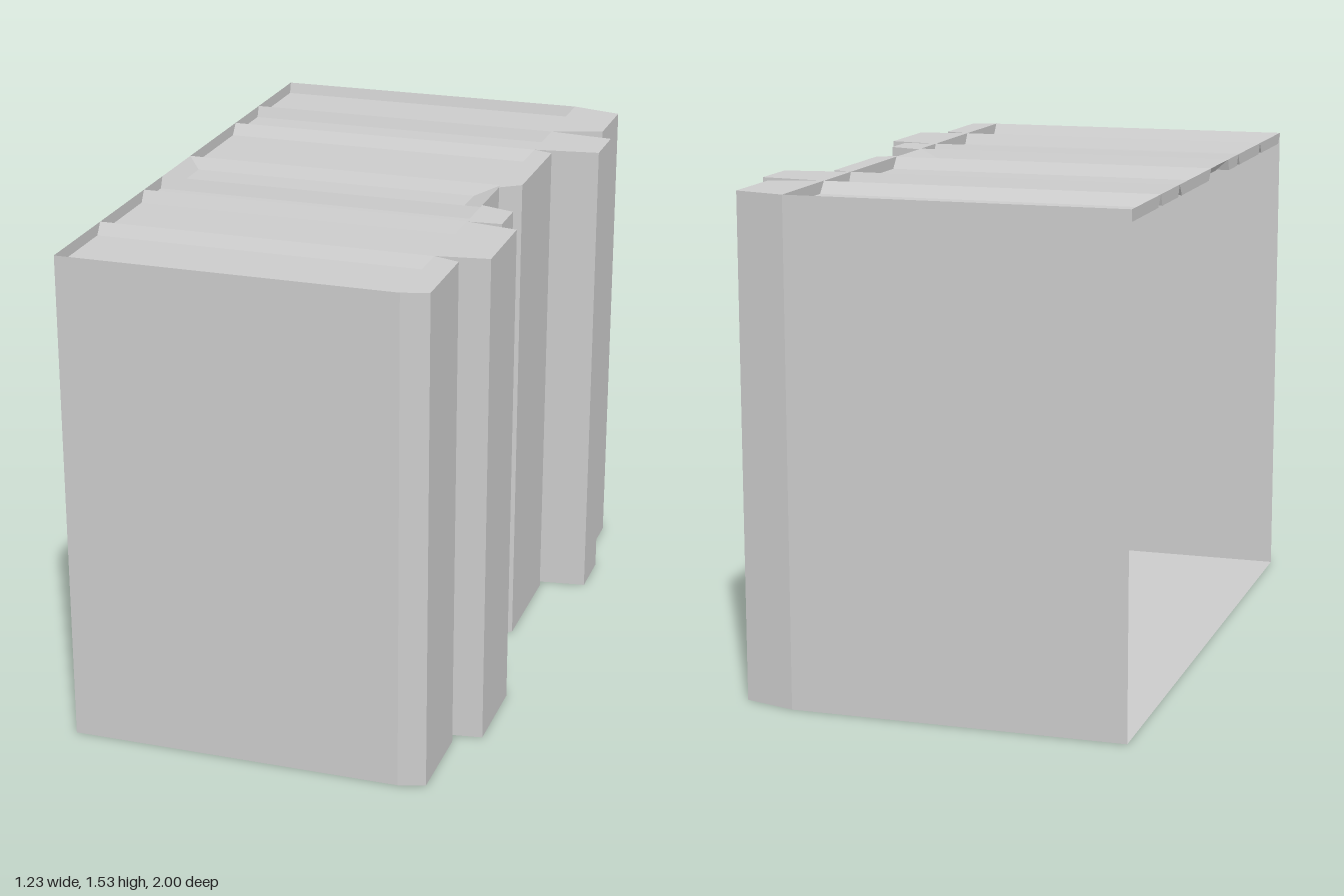
import * as THREE from 'three';

const H = 1.535, BACK = -0.617, EDGE = 0.41, DEPTH = 0.035;

// One row per book. Spine: front z, bevelled z pair, rear z, outer x.
// Top: rim front/rear z, sunken page front/rear z, and end bevels at back and spine.
const books = [
  { spine: [1, 0.975, 0.7, 0.672, 0.49], top: [1, 0.672, 0.975, 0.697], ends: [0, 0] },
  { spine: [0.672, 0.648, 0.368, 0.338, 0.57], top: [0.672, 0.338, 0.65, 0.36], ends: [0, 0] },
  { spine: [0.338, 0.33, 0.205, 0.17, 0.515], top: [0.338, 0.19, 0.32, 0.205], ends: [0, 0] },
  { spine: null, top: [0.19, -0.045, 0.17, -0.02], ends: [0.037, 0.08] },
  { spine: [-0.02, -0.065, -0.43, -0.452, 0.472], top: [-0.045, -0.452, -0.075, -0.425], ends: [0, 0] },
  { spine: [-0.452, -0.48, -0.65, -0.675, 0.615], top: [-0.452, -0.675, -0.47, -0.66], ends: [0, 0] },
  { spine: [-0.675, -0.725, -0.955, -1, 0.57], top: [-0.675, -1, -0.707, -0.99], ends: [0, 0] },
];

const material = new THREE.MeshStandardMaterial({
  color: 0xcccccc, flatShading: true, side: THREE.DoubleSide,
});

// Flat surface made of separate quads, corners counter-clockwise from outside
function quadMesh(name, quads) {
  const pos = [];
  for (const [a, b, c, d] of quads) pos.push(...a, ...b, ...c, ...a, ...c, ...d);
  const g = new THREE.BufferGeometry();
  g.setAttribute('position', new THREE.Float32BufferAttribute(pos, 3));
  g.computeVertexNormals();
  const mesh = new THREE.Mesh(g, material);
  mesh.name = name;
  return mesh;
}

// Plan points [x, z] of one spine
const spinePoints = ([z0, z1, z2, z3, x]) => [[EDGE, z0], [x, z1], [x, z2], [EDGE, z3]];

// Upright wall along a line of plan points
function wall(name, points) {
  const quads = [];
  for (let i = 0; i < points.length - 1; i++) {
    const [x0, z0] = points[i], [x1, z1] = points[i + 1];
    quads.push([[x0, 0, z0], [x1, 0, z1], [x1, H, z1], [x0, H, z0]]);
  }
  return quadMesh(name, quads);
}

// Sunken top of the pages: a shallow tray below the rim
function pageTop({ top: [r0, r1, p0, p1], ends: [eb, es] }) {
  const y = H - DEPTH;
  const rim = [[BACK, H, r0], [EDGE, H, r0], [EDGE, H, r1], [BACK, H, r1]];
  const page = [[BACK + eb, y, p0], [EDGE - es, y, p0], [EDGE - es, y, p1], [BACK + eb, y, p1]];
  const quads = [page];
  for (let i = 0; i < 4; i++) {
    const j = (i + 1) % 4;
    quads.push([rim[i], rim[j], page[j], page[i]]);
  }
  return quadMesh('pageTop', quads);
}

export function createModel() {
  const group = new THREE.Group();
  group.name = 'bookRow';

  const outline = [[BACK, 1]];
  for (const book of books) {
    group.add(pageTop(book));
    if (!book.spine) continue;
    const pts = spinePoints(book.spine);
    outline.push(...pts);
    group.add(wall('spine', pts));
    group.add(quadMesh('spineTop', [pts.map(([x, z]) => [x, H, z])]));
  }
  outline.push([BACK, -1]);

  // Flat spine of the narrow set-back book
  group.add(wall('setBackSpine', [[EDGE, 0.17], [EDGE, -0.02]]));

  // Outer covers at both ends; the back stays open
  group.add(wall('frontCover', [[BACK, 1], [EDGE, 1]]));
  group.add(wall('rearCover', [[EDGE, -1], [BACK, -1]]));

  // Base following the outline of the spines
  const shape = new THREE.Shape(outline.map(([x, z]) => new THREE.Vector2(x, z)));
  const base = new THREE.Mesh(new THREE.ShapeGeometry(shape).rotateX(Math.PI / 2), material);
  base.name = 'base';
  group.add(base);
  return group;
}
